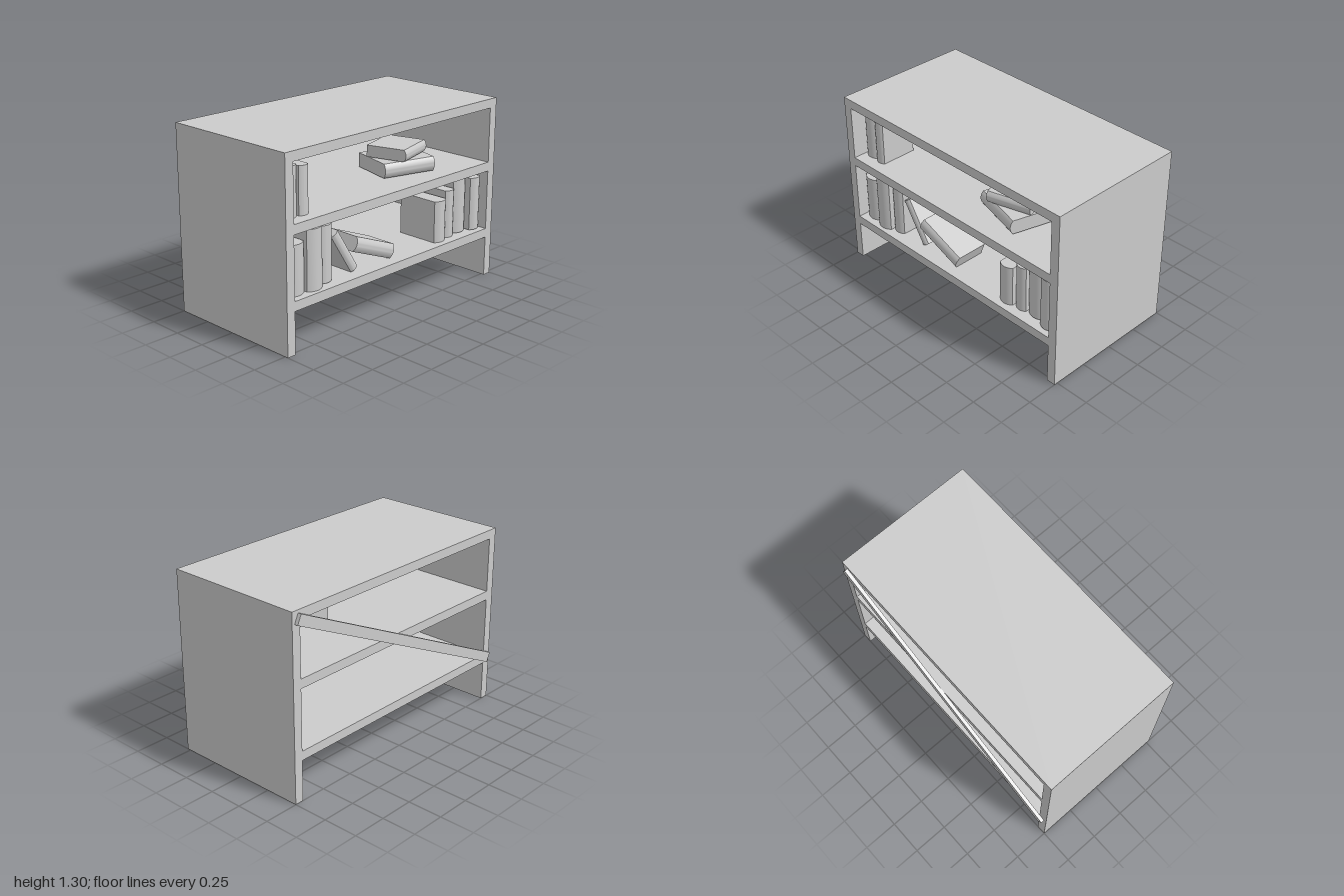
import * as THREE from 'three';
import { toCreasedNormals } from 'three/addons/utils/BufferGeometryUtils.js';

const material = new THREE.MeshStandardMaterial({ color: 0xcccccc });
const shellMaterial = new THREE.MeshStandardMaterial({ color: 0xcccccc, side: THREE.DoubleSide });

function path(PathType, points) {
  return new PathType(points.map(([x, y]) => new THREE.Vector2(x, y)));
}

// Carcass: two side panels, top and two shelves in one hollow shell, open under the legs
function makeFrame() {
  const inner = 0.935, top = 1.305, back = -0.5, depth = 1.025;
  const outline = path(THREE.Shape, [
    [-1, 0], [-inner, 0], [-inner, 0.29], [inner, 0.29], [inner, 0], [1, 0], [1, top], [-1, top],
  ]);
  for (const [low, high] of [[0.355, 0.785], [0.85, 1.24]]) {
    outline.holes.push(path(THREE.Path, [[-inner, low], [-inner, high], [inner, high], [inner, low]]));
  }
  const solid = new THREE.ExtrudeGeometry(outline, { depth, bevelEnabled: false });
  solid.translate(0, 0, back);

  // Drop the faces lying on the ground
  const p = solid.attributes.position;
  const kept = [];
  for (let i = 0; i < p.count; i += 3) {
    if (Math.max(p.getY(i), p.getY(i + 1), p.getY(i + 2)) > 1e-4) kept.push(i, i + 1, i + 2);
  }
  solid.setIndex(kept);
  solid.clearGroups();
  const frame = new THREE.Mesh(solid, shellMaterial);
  frame.name = 'shelfFrame';
  return frame;
}

// Upright book with a rounded spine towards +z; its origin is the middle of the spine side
function makeBook(name, thickness, height, depth) {
  const half = thickness / 2;
  const section = new THREE.Shape();
  section.moveTo(-half, 0);
  section.quadraticCurveTo(0, -0.4 * thickness, half, 0);
  section.lineTo(half, depth);
  section.lineTo(-half, depth);
  section.closePath();
  const geometry = new THREE.ExtrudeGeometry(section, { depth: height, bevelEnabled: false, curveSegments: 12 });
  geometry.rotateX(-Math.PI / 2);
  geometry.translate(0, -height / 2, 0);
  const book = new THREE.Mesh(toCreasedNormals(geometry, 0.4), material);
  book.name = name;
  return book;
}

export function createModel() {
  const model = new THREE.Group();
  model.name = 'bookshelf';
  model.add(makeFrame());

  // Diagonal brace across the back
  const brace = new THREE.Mesh(new THREE.BoxGeometry(2.137, 0.072, 0.025), material);
  brace.name = 'backBrace';
  brace.position.set(0, 0.793, -0.5125);
  brace.rotation.z = THREE.MathUtils.degToRad(25.5);
  model.add(brace);

  // Standing books: x from, x to, bottom, top, spine z, back z
  const rows = {
    upperLeftBook: [
      [-0.92, -0.815, 0.85, 1.18, 0.42, 0.15],
      [-0.805, -0.725, 0.85, 1.168, 0.43, 0.17],
    ],
    lowerLeftBook: [
      [-0.92, -0.787, 0.355, 0.692, 0.45, 0.16],
      [-0.78, -0.648, 0.355, 0.765, 0.47, 0.14],
      [-0.64, -0.537, 0.36, 0.745, 0.44, 0.16],
    ],
    lowerRightBook: [
      [0.44, 0.555, 0.358, 0.655, 0.46, 0.15],
      [0.572, 0.66, 0.358, 0.7, 0.445, 0.08],
      [0.673, 0.803, 0.362, 0.762, 0.43, 0.05],
      [0.812, 0.915, 0.362, 0.745, 0.47, 0.1],
    ],
  };
  for (const [name, books] of Object.entries(rows)) {
    for (const [x0, x1, y0, y1, front, back] of books) {
      const book = makeBook(name, x1 - x0, y1 - y0, front - back);
      book.position.set((x0 + x1) / 2, (y0 + y1) / 2, front);
      model.add(book);
    }
  }

  // Leaning and lying books: size, position, turn about y, tilt about z
  const loose = [
    ['leaningBook', [0.065, 0.337, 0.22], [-0.4125, 0.516, 0.43], 0, 0.56],
    ['fallenBook', [0.102, 0.38, 0.23], [-0.155, 0.477, 0.445], 0, 1.19],
    ['lowerLyingBook', [0.1, 0.395, 0.332], [0.3, 0.908, 0.342], -0.274, -Math.PI / 2],
    ['upperLyingBook', [0.082, 0.317, 0.28], [0.378, 1.004, 0.318], 0.272, -Math.PI / 2],
  ];
  for (const [name, size, position, turn, tilt] of loose) {
    const book = makeBook(name, ...size);
    book.position.set(...position);
    book.rotation.set(0, turn, tilt);
    model.add(book);
  }
  return model;
}
